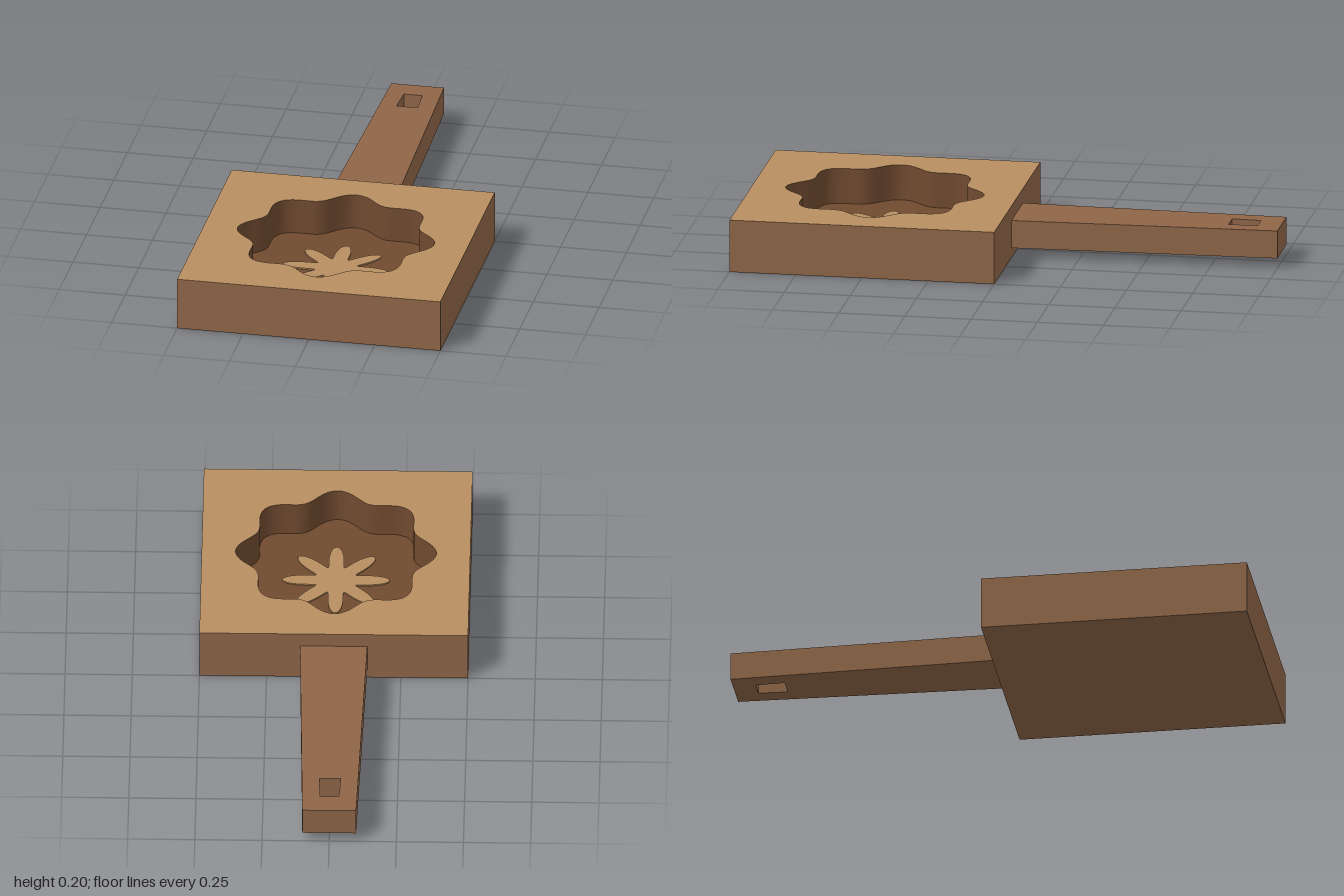
import * as THREE from 'three';

const HEIGHT = 0.2, FLOOR = 0.065, SEGMENTS = 160;
const paint = (color) => new THREE.MeshStandardMaterial({ color });

// Eight-lobed radii of the cavity and of the raised flower
const cavityRadius = (a) => 0.345 + 0.029 * Math.cos(8 * a);
const flowerRadius = (a) => 0.14 + 0.06 * Math.cos(8 * a);

function lobedPoints(radius) {
  return Array.from({ length: SEGMENTS }, (_, i) => {
    const a = (i / SEGMENTS) * Math.PI * 2;
    return new THREE.Vector2(radius(a) * Math.cos(a), radius(a) * Math.sin(a));
  });
}

const polygon = (pairs) => new THREE.Shape(pairs.map(([x, y]) => new THREE.Vector2(x, y)));

// Lay a geometry drawn in x/y flat, facing up
const lay = (geometry) => geometry.rotateX(-Math.PI / 2);

export function createModel() {
  const model = new THREE.Group();
  model.name = 'cakeMold';
  const brown = paint(0x8f6648), tan = paint(0xb88f60), dark = paint(0x704a30);

  function add(parent, name, geometry, material, y = 0) {
    const mesh = new THREE.Mesh(geometry, material);
    mesh.name = name;
    mesh.position.y = y;
    parent.add(mesh);
  }

  const block = new THREE.Group();
  block.name = 'block';
  block.position.z = 0.5;
  model.add(block);

  // Block sides and underside: a box without its top face
  const body = new THREE.BoxGeometry(1, HEIGHT, 1);
  const index = Array.from(body.index.array);
  index.splice(12, 6);
  body.setIndex(index);
  body.clearGroups();
  add(block, 'blockBody', body, brown, HEIGHT / 2);

  // Top face with the lobed opening
  const top = polygon([[-0.5, -0.5], [0.5, -0.5], [0.5, 0.5], [-0.5, 0.5]]);
  top.holes.push(new THREE.Path(lobedPoints(cavityRadius)));
  add(block, 'blockTop', lay(new THREE.ShapeGeometry(top)), tan, HEIGHT);

  // Cavity wall: an open tube pushed into lobes and mirrored to face inwards
  const wall = new THREE.CylinderGeometry(1, 1, HEIGHT - FLOOR, SEGMENTS, 1, true);
  const p = wall.attributes.position;
  for (let i = 0; i < p.count; i++) {
    const r = cavityRadius(Math.atan2(p.getZ(i), p.getX(i)));
    p.setXYZ(i, p.getX(i) * r, p.getY(i), p.getZ(i) * r);
  }
  wall.scale(-1, 1, 1);
  wall.computeVertexNormals();
  add(block, 'cavityWall', wall, dark, (HEIGHT + FLOOR) / 2);

  // Cavity floor and the flower on it
  const floor = new THREE.ShapeGeometry(new THREE.Shape(lobedPoints(cavityRadius)));
  add(block, 'cavityFloor', lay(floor), dark, FLOOR);
  const flower = new THREE.ExtrudeGeometry(new THREE.Shape(lobedPoints(flowerRadius)),
    { depth: 0.005, bevelEnabled: false });
  add(block, 'flowerRelief', lay(flower), tan, FLOOR);

  // Tapered handle with a hanging hole
  const grip = polygon([[-0.125, 0], [0.125, 0], [0.1, 1], [-0.1, 1]]);
  grip.holes.push(polygon([[-0.04, 0.805], [-0.035, 0.915], [0.035, 0.915], [0.04, 0.805]]));
  const handle = new THREE.ExtrudeGeometry(grip, { depth: 0.106, bevelEnabled: false });
  add(model, 'handle', lay(handle), brown, 0.038);

  return model;
}
